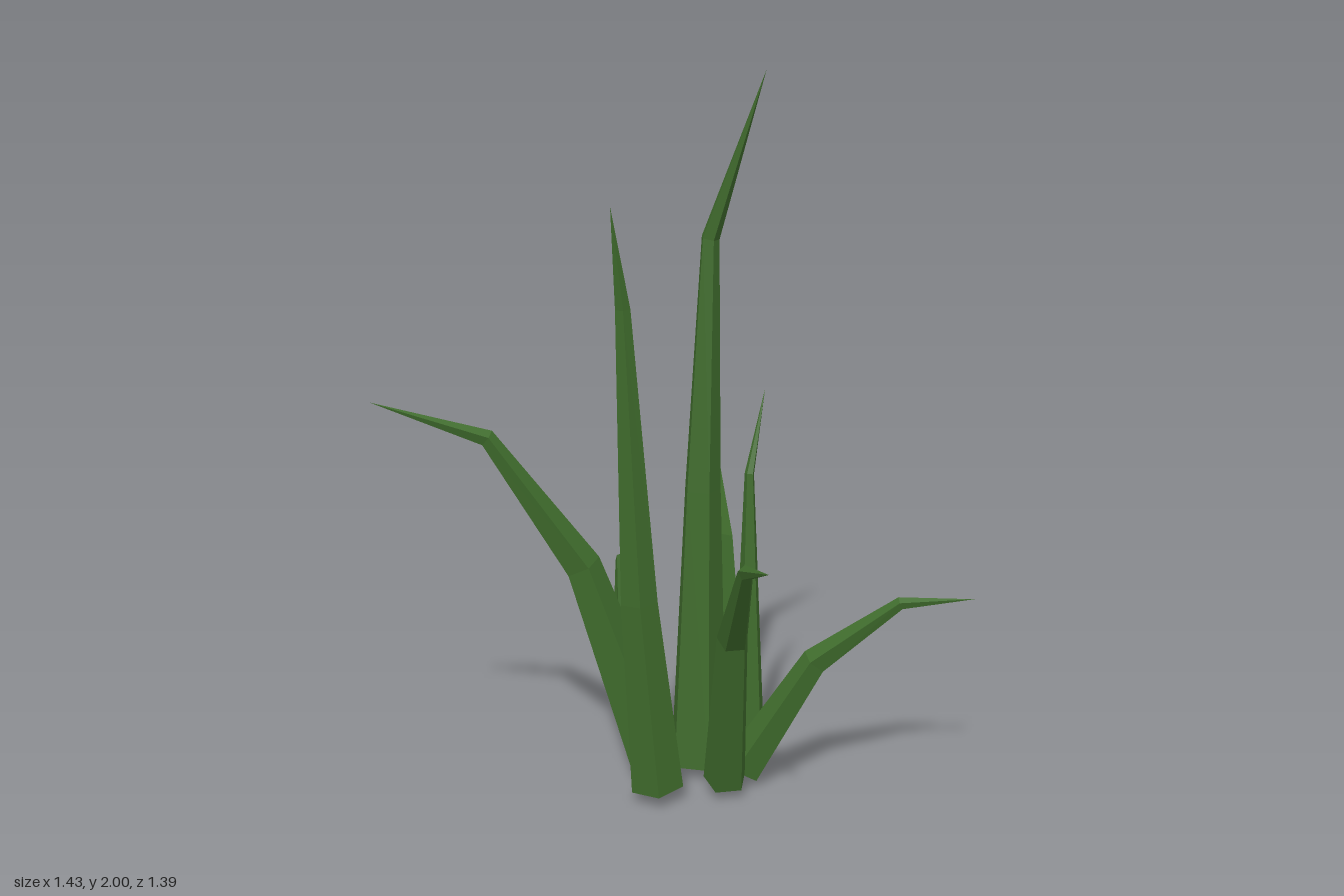
import * as THREE from 'three';

const SIDES = 5;
const green = new THREE.MeshStandardMaterial({ color: 0x3f6b2c, flatShading: true });

// Tapered five-sided blade: closed base, rings along a bent path, pointed tip.
// out = [x, z] is the way the blade leans, radii = one per ring.
function bladeGeometry(path, radii, out) {
  const pts = path.map(p => new THREE.Vector3(...p));
  const outward = new THREE.Vector3(out[0], 0, out[1]).normalize();
  const side = new THREE.Vector3(0, 1, 0).cross(outward);
  const verts = [];
  radii.forEach((r, i) => {
    const tangent = pts[i + 1].clone().sub(pts[i]).normalize();
    if (i > 0) tangent.add(pts[i].clone().sub(pts[i - 1]).normalize()).normalize();
    const back = tangent.clone().cross(side).normalize();
    const across = back.clone().cross(tangent).normalize();
    for (let k = 0; k < SIDES; k++) {
      const a = (k / SIDES) * Math.PI * 2;
      verts.push(pts[i].clone()
        .addScaledVector(back, r * Math.cos(a))
        .addScaledVector(across, r * Math.sin(a)));
    }
  });
  const tip = verts.push(pts[pts.length - 1]) - 1;
  const base = verts.push(pts[0]) - 1;
  const index = [];
  const last = (radii.length - 1) * SIDES;
  for (let k = 0; k < SIDES; k++) {
    const n = (k + 1) % SIDES;
    for (let s = 0; s < last; s += SIDES) {
      index.push(s + k, s + SIDES + n, s + n, s + k, s + SIDES + k, s + SIDES + n);
    }
    index.push(last + k, tip, last + n, base, k, n);
  }
  // wind every face outward
  const v = new THREE.Vector3(), w = new THREE.Vector3();
  v.subVectors(verts[0], verts[base]).cross(w.subVectors(verts[1], verts[base]));
  const up = w.subVectors(pts[1], pts[0]);
  if (v.dot(up) > 0) index.reverse();
  const g = new THREE.BufferGeometry().setFromPoints(verts);
  g.setIndex(index);
  const flat = g.toNonIndexed();
  flat.computeVertexNormals();
  return flat;
}

// Each path runs base, lower bend, upper bend, tip.
const blades = [
  { name: 'tallCentreBlade', out: [1, 0], radii: [0.085, 0.053, 0.026],
    path: [[-0.03, 0.04, 0.125], [-0.02, 0.85, 0.11], [0, 1.55, 0.095], [0.17, 2, 0.095]] },
  { name: 'tallFrontBlade', out: [0, 1], radii: [0.075, 0.052, 0.021],
    path: [[-0.035, 0.045, 0.335], [-0.055, 0.6, 0.385], [-0.083, 1.4, 0.402], [-0.085, 1.67, 0.45]] },
  { name: 'smallBackBlade', out: [0, -1], radii: [0.042, 0.027, 0.014],
    path: [[0.07, 0.05, -0.015], [0.058, 0.58, -0.022], [0.054, 0.87, -0.03], [0.054, 1.1, -0.12]] },
  { name: 'smallRightBlade', out: [-1, -0.2], radii: [0.045, 0.036, 0.022],
    path: [[-0.2, 0.04, 0.12], [-0.285, 0.33, 0.105], [-0.3, 0.6, 0.09], [-0.335, 0.59, 0.065]] },
  { name: 'frontRightBlade', out: [-0.61, 0.48], radii: [0.085, 0.054, 0.025],
    path: [[-0.13, 0.055, 0.2], [-0.29, 0.64, 0.31], [-0.48, 1.02, 0.475], [-0.72, 1.13, 0.665]] },
  { name: 'backRightBlade', out: [-0.5, -0.73], radii: [0.085, 0.056, 0.028],
    path: [[-0.01, 0.03, 0.03], [-0.14, 0.61, -0.165], [-0.34, 0.925, -0.43], [-0.5, 0.985, -0.7]] },
  { name: 'backLeftBlade', out: [0.63, -0.22], radii: [0.06, 0.04, 0.018],
    path: [[0.12, 0.05, 0.115], [0.315, 0.39, 0.06], [0.535, 0.575, -0.015], [0.715, 0.592, -0.1]] },
  { name: 'frontLeftBlade', out: [0.43, 0.51], radii: [0.062, 0.044, 0.021],
    path: [[0.11, 0.045, 0.205], [0.205, 0.52, 0.33], [0.35, 0.79, 0.52], [0.51, 0.865, 0.695]] },
];

export function createModel() {
  const group = new THREE.Group();
  group.name = 'grassClump';
  for (const { name, path, radii, out } of blades) {
    const mesh = new THREE.Mesh(bladeGeometry(path, radii, out), green);
    mesh.name = name;
    group.add(mesh);
  }
  return group;
}
